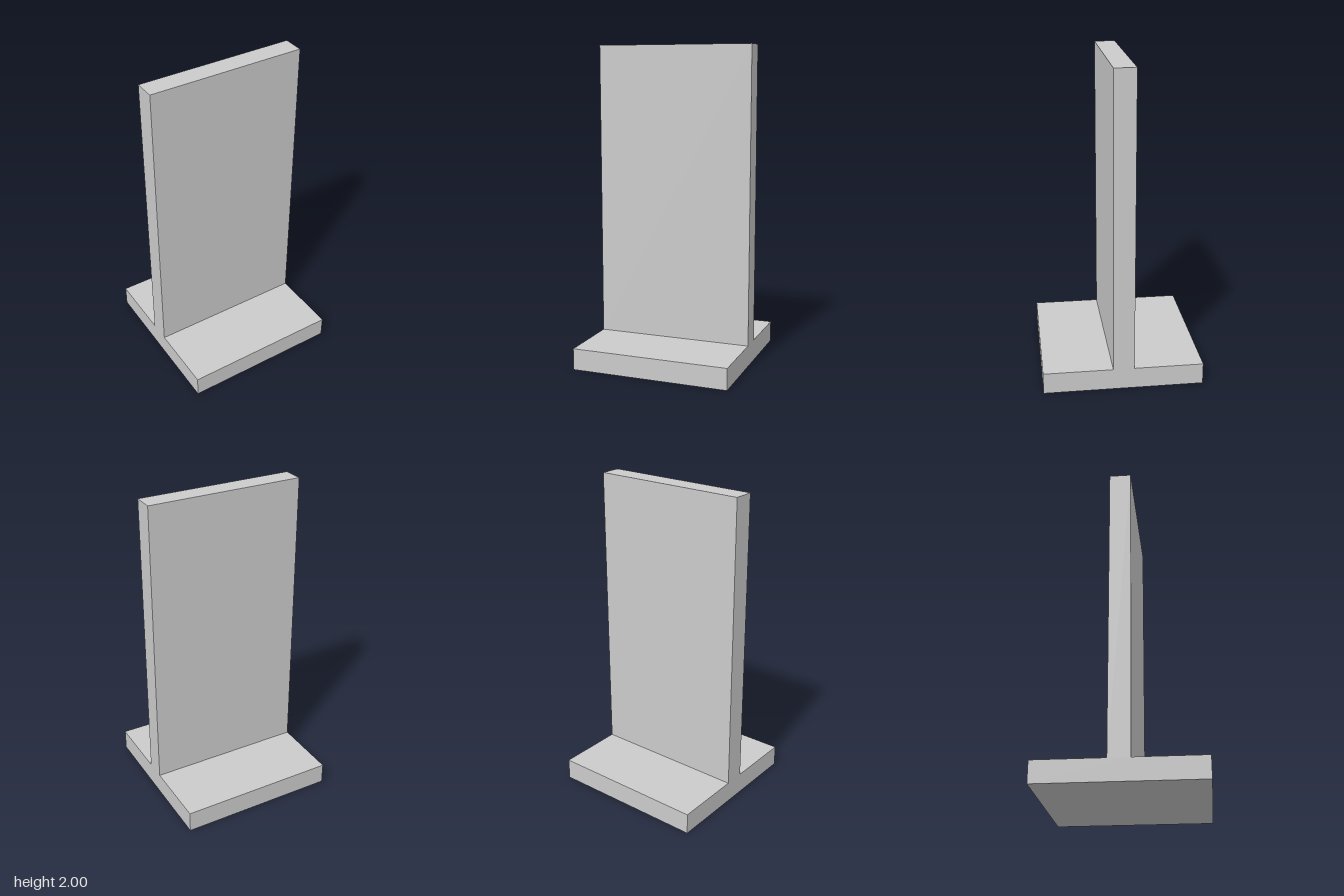
import * as THREE from 'three';

export function createModel() {
  const group = new THREE.Group();
  const width = 1, height = 2;
  const halfFoot = 0.5, halfWall = 0.0665, footHeight = 0.135;

  // Inverted T cross-section: a flat foot with an upright wall in the middle
  const half = [[halfFoot, 0], [halfFoot, footHeight], [halfWall, footHeight], [halfWall, height]];
  const mirrored = half.map(([x, y]) => [-x, y]).reverse();
  const profile = new THREE.Shape([...half, ...mirrored].map(([x, y]) => new THREE.Vector2(x, y)));

  // Run the section along x, centred
  const geometry = new THREE.ExtrudeGeometry(profile, { depth: width, bevelEnabled: false });
  geometry.translate(0, 0, -width / 2);
  geometry.rotateY(Math.PI / 2);

  const wall = new THREE.Mesh(
    geometry,
    new THREE.MeshStandardMaterial({ color: 0xcccccc, flatShading: true })
  );
  wall.name = 'retainingWall';
  group.add(wall);
  return group;
}
